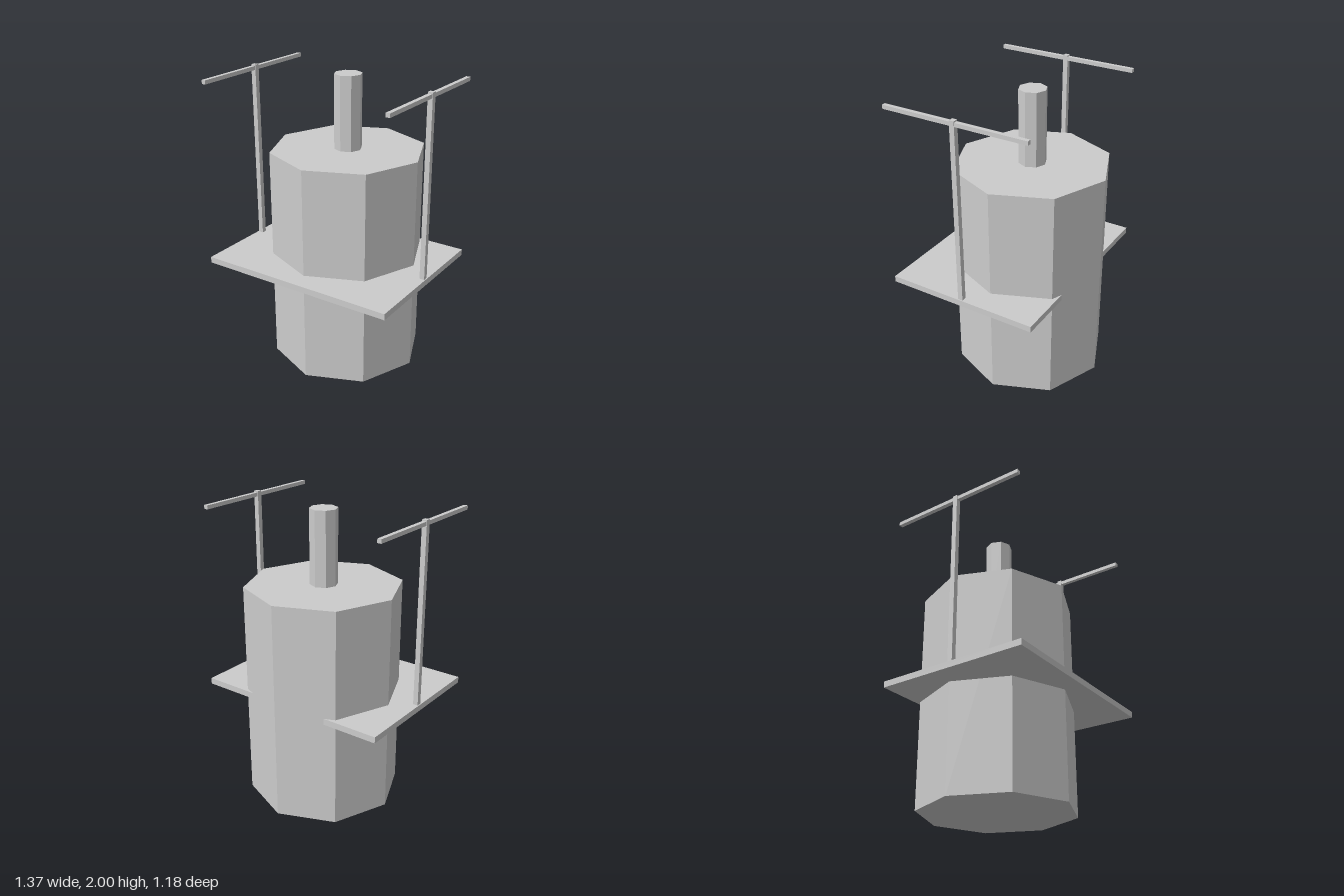
import * as THREE from 'three';

export function createModel() {
  const group = new THREE.Group();
  const grey = new THREE.MeshStandardMaterial({ color: 0xcccccc, flatShading: true });
  grey.name = 'light grey';

  const add = (name, geometry, x, y, z) => {
    const mesh = new THREE.Mesh(geometry, grey);
    mesh.name = name;
    mesh.position.set(x, y, z);
    group.add(mesh);
  };

  // Octagonal tank with a slim octagonal pipe on top
  const tankZ = -0.065;
  add('tank', new THREE.CylinderGeometry(0.524, 0.524, 1.5, 8), 0, 0.75, tankZ);
  add('pipe', new THREE.CylinderGeometry(0.093, 0.093, 0.5, 8), 0, 1.75, tankZ);

  // Flat platform running through the tank
  const platformZ = 0.061;
  add('platform', new THREE.BoxGeometry(1.374, 0.042, 1.052), 0, 0.752, platformZ);

  // A post with a crossbar on each side
  for (const [side, s] of [['left', 1], ['right', -1]]) {
    add(side + 'Post', new THREE.BoxGeometry(0.034, 1.23, 0.034), s * 0.663, 1.385, platformZ);
    add(side + 'Crossbar', new THREE.BoxGeometry(0.028, 0.026, 0.998), s * 0.663, 1.978, 0.063);
  }
  return group;
}
